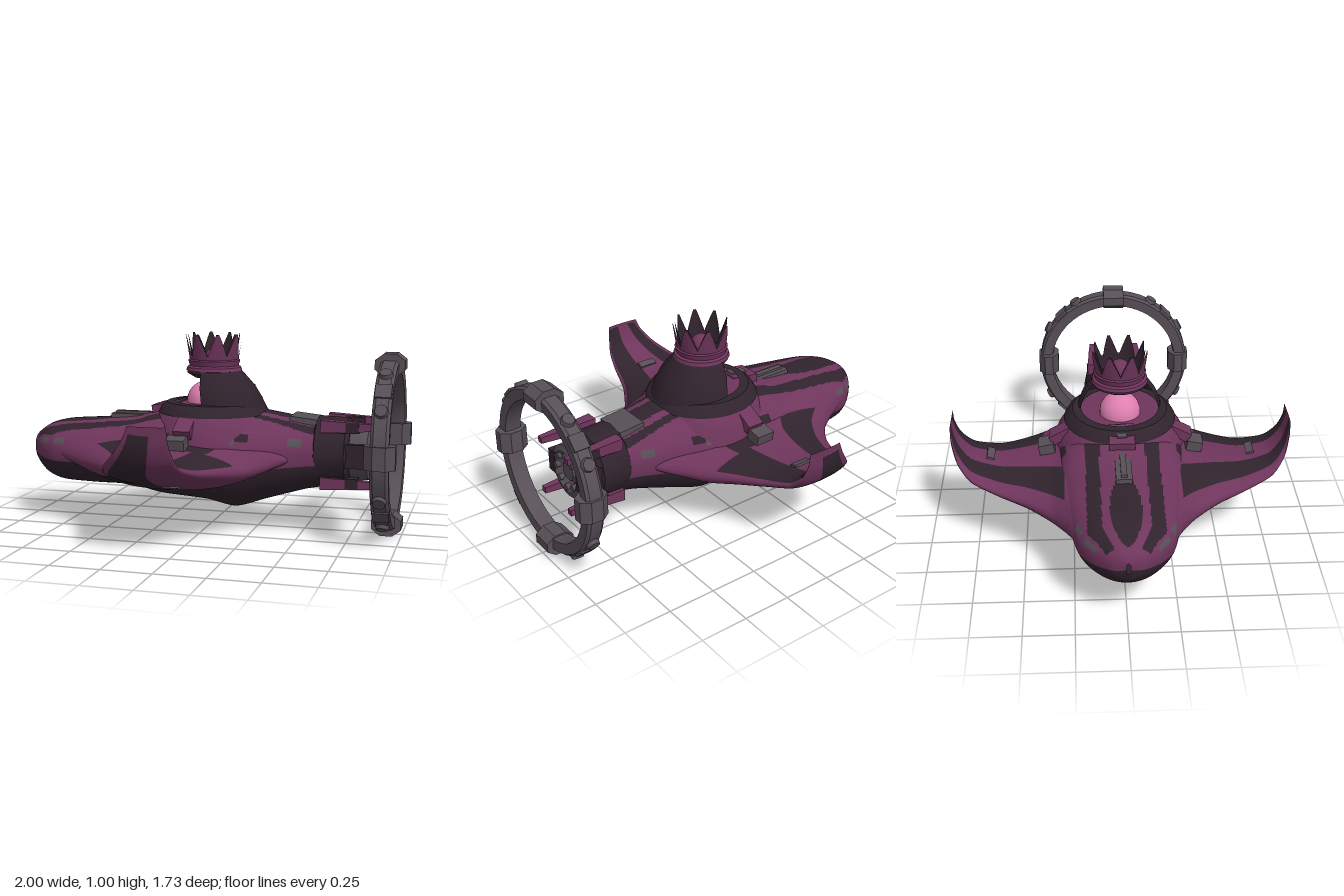
import * as THREE from 'three';
import { toCreasedNormals } from 'three/addons/utils/BufferGeometryUtils.js';

const flat = (name, color, side = THREE.FrontSide) => {
  const m = new THREE.MeshStandardMaterial({ color, side });
  m.name = name;
  return m;
};

export function createModel() {
  const root = new THREE.Group();
  const purple = flat('plum armour', 0x6f355c);
  const dark = flat('dark plum', 0x30232d, THREE.DoubleSide);
  const gray = flat('gunmetal', 0x584f57);
  const pink = flat('pink glow', 0xdf7fb0);
  const paints = [purple, dark, gray];
  const P = 0, D = 1, G = 2;

  const add = (name, geo, mat, x = 0, y = 0, z = 0, parent = root) => {
    const m = new THREE.Mesh(geo, mat);
    m.name = name;
    m.position.set(x, y, z);
    parent.add(m);
    return m;
  };
  const box = (w, h, d) => new THREE.BoxGeometry(w, h, d);
  const lathe = (pts, seg = 48, start = 0, len = Math.PI * 2) => toCreasedNormals(
    new THREE.LatheGeometry(pts.map(p => new THREE.Vector2(p[0], p[1])), seg, start, len), 0.6);

  // Skin through rows of points; paint(u, v, point) picks the material of each face
  function loft(fn, nu, nv, closed, flip, paint) {
    const pos = [], cols = closed ? nv : nv + 1, faces = [[], [], []];
    for (let i = 0; i <= nu; i++) for (let j = 0; j < cols; j++) pos.push(...fn(i / nu, j / nv));
    for (let i = 0; i < nu; i++) for (let j = 0; j < nv; j++) {
      const k = (j + 1) % cols;
      const a = i * cols + j, b = a + cols, c = (i + 1) * cols + k, d = i * cols + k;
      const u = (i + 0.5) / nu, v = (j + 0.5) / nv;
      faces[paint(u, v, fn(u, v))].push(...(flip ? [a, c, b, a, d, c] : [a, b, c, a, c, d]));
    }
    const g = new THREE.BufferGeometry();
    g.setAttribute('position', new THREE.Float32BufferAttribute(pos, 3));
    g.setIndex(faces.flat());
    let start = 0;
    faces.forEach((f, m) => { if (f.length) g.addGroup(start, f.length, m); start += f.length; });
    g.computeVertexNormals();
    return g;
  }
  // Smooth interpolation of rows of five numbers
  function table(rows) {
    const a = new THREE.CatmullRomCurve3(rows.map(r => new THREE.Vector3(r[0], r[1], r[2])), false, 'catmullrom', 0.4);
    const b = new THREE.CatmullRomCurve3(rows.map(r => new THREE.Vector3(r[3], r[4], 0)), false, 'catmullrom', 0.4);
    return u => [...a.getPoint(u).toArray(), b.getPoint(u).x, b.getPoint(u).y];
  }

  // Hull: x, top, bottom, half width, belt height
  const hullAt = table([
    [-1, .42, .36, .01, .39], [-.975, .46, .30, .08, .39], [-.9, .51, .235, .17, .39],
    [-.8, .535, .205, .235, .39], [-.6, .55, .20, .28, .40], [-.4, .57, .20, .31, .41],
    [-.25, .61, .165, .32, .42], [0, .645, .145, .33, .42], [.15, .64, .115, .31, .42],
    [.3, .62, .16, .26, .42], [.5, .59, .22, .19, .42], [.6, .58, .24, .17, .42],
    [.72, .56, .26, .15, .42], [.73, .43, .41, .01, .42]]);
  const hullPoint = (u, v) => {
    const [x, top, bot, w, mid] = hullAt(u), a = v * Math.PI * 2, s = Math.sin(a);
    return [x, mid + (s > 0 ? top - mid : mid - bot) * Math.sign(s) * Math.abs(s) ** .9, w * Math.cos(a)];
  };
  const hullPaint = (u, v, [x, , z]) => {
    const s = Math.sin(v * Math.PI * 2), q = Math.abs(z);
    if (x > .58) return D;
    if (s < (x < -.6 || x > .1 ? -.25 : -.08)) return D;
    if (s > .25 && s < .45 && [-.88, -.77, .16, .47].some(c => Math.abs(x - c) < .035)) return G;
    if (x < -.95) return P;
    if (x < -.22) {
      // Dark leaf on the nose, then alternating bands that spread backwards
      const leaf = .075 * Math.sqrt(Math.max(0, 1 - ((x + .72) / .23) ** 2));
      const k = Math.min(1, (x + 1) / .25 + .35);
      return q < leaf ? D : q < .115 * k ? P : q < .185 * k ? D : P;
    }
    if (x > .25) return q < .06 ? D : q < .1 ? P : q < .14 ? D : P;
    return s > .3 && s < .5 ? D : P;
  };
  add('hull', loft(hullPoint, 160, 160, true, false, hullPaint), paints);

  // Wings: z, leading x, trailing x, middle height, half thickness
  const wingAt = table([
    [.12, -.9, .5, .40, .07], [.23, -.79, .43, .40, .10], [.29, -.66, .34, .375, .12],
    [.36, -.55, .27, .36, .11], [.48, -.45, .18, .37, .085], [.62, -.38, .10, .39, .06],
    [.76, -.32, .06, .435, .045], [.83, -.25, .045, .50, .045], [.86, -.19, .03, .58, .04],
    [.865, -.16, .025, .65, .004]]);
  const wingPaint = (u, v, [, , z]) => {
    const a = v * Math.PI * 2, f = (1 - Math.cos(a)) / 2, q = Math.abs(z);
    if (u > .96) return P;
    if (Math.sin(a) < 0) return f < .06 ? P : f < .55 ? D : P;
    if (q < .4 && f > .62) return f < .78 ? D : P;
    if (f < .13 || (q < .29 && f < .36)) return P;
    return f < .36 ? D : f < .68 ? P : f < .975 ? D : P;
  };
  for (const s of [1, -1]) {
    const wingPoint = (u, v) => {
      const [z, x0, x1, mid, half] = wingAt(u), a = v * Math.PI * 2;
      return [x0 + (x1 - x0) * (1 - Math.cos(a)) / 2, mid + half * Math.sin(a), s * z];
    };
    add(s > 0 ? 'wingFront' : 'wingBack', loft(wingPoint, 90, 96, true, s < 0, wingPaint), paints);
    add('wingHatch', box(.1, .012, .04), gray, -.1, .462, s * .67).rotation.x = -s * .3;
    add('underHatch', box(.08, .012, .07), gray, -.06, .3, s * .52).rotation.x = -s * .25;
    // Shoulder strut and its gray foot
    add('strut', box(.09, .05, .2), purple, -.06, .575, s * .27).rotation.x = s * .5;
    add('strutFoot', box(.1, .07, .08), gray, -.08, .485, s * .38).rotation.x = s * .2;
  }

  // Shoulder collar and the swept-back hood, open toward the nose
  add('collar', lathe([[.34, .45], [.325, .54], [.28, .61], [.24, .65], [0, .655]]), purple, .01);
  add('collarTrim', lathe([[.29, .605], [.27, .64], [.245, .66], [.2, .662]]), dark, .01);
  const hood = lathe([[.22, .63], [.21, .68], [.19, .74], [.16, .79], [.13, .835]], 48, -Math.PI * .59, Math.PI * 1.18)
    .rotateY(Math.PI / 2);
  const hp = hood.attributes.position;
  for (let i = 0; i < hp.count; i++) hp.setX(i, hp.getX(i) + (.835 - hp.getY(i)) * .28);
  add('hood', hood, dark, .01);
  add('hoodTop', lathe([[.1, .785], [.14, .81], [.13, .84], [0, .845]]), dark, .01);
  add('face', new THREE.SphereGeometry(.105, 32, 20), pink, -.028, .66, 0);

  // Crown with eight points
  const crown = new THREE.Group();
  crown.name = 'crown';
  crown.position.x = .01;
  root.add(crown);
  add('crownBand', lathe([[.12, .815], [.145, .822], [.14, .84], [.128, .848], [.135, .875], [.122, .885]]), purple, 0, 0, 0, crown);
  const crownWall = inset => (u, v) => {
    const t = u * Math.PI * 2, tri = Math.min(1, 1.15 * Math.abs(((u * 8) % 1) * 2 - 1));
    const y = .845 + v * (.055 + .112 * tri), r = .122 + (y - .845) * .15 - inset;
    return [r * Math.cos(t + .39), y, r * Math.sin(t + .39)];
  };
  add('crownOutside', loft(crownWall(0), 128, 4, false, true, () => P), paints, 0, 0, 0, crown);
  add('crownInside', loft(crownWall(.012), 128, 4, false, false, () => D), paints, 0, 0, 0, crown);
  add('crownBall', new THREE.SphereGeometry(.055, 24, 16), purple, 0, .88, 0, crown);

  // Deck details along the spine
  add('deckPlate', box(.24, .03, .08), gray, -.43, .563, 0);
  add('deckRib', box(.26, .025, .03), gray, -.4, .578, 0);
  add('deckHousing', box(.16, .07, .13), purple, -.23, .61, 0).rotation.z = .15;
  add('deckCap', box(.1, .02, .05), gray, -.22, .645, 0).rotation.z = .15;
  add('rearDeck', box(.14, .05, .18), gray, .5, .575, 0).rotation.z = -.1;

  // Engine, pointing along +x
  const engine = new THREE.Group();
  engine.name = 'engine';
  engine.position.y = .425;
  engine.rotation.z = -Math.PI / 2;
  root.add(engine);
  add('engineCollar', lathe([[.15, .55], [.18, .57], [.175, .72], [.15, .74], [0, .74]], 16), dark, 0, 0, 0, engine);
  add('nozzle', lathe([[.13, .72], [.145, .76], [.14, .83], [.11, .84], [.06, .81], [.05, .825], [0, .825]], 24), gray, 0, 0, 0, engine);
  for (let i = 0; i < 8; i++) {
    const a = i * Math.PI / 4;
    add('nozzleBolt', new THREE.CylinderGeometry(.017, .017, .04, 10), gray,
      .088 * Math.cos(a), .825, .088 * Math.sin(a), engine);
  }
  const blade = toCreasedNormals(new THREE.CylinderGeometry(.022, .045, .3, 4).rotateY(Math.PI / 4), .3);
  for (const sy of [1, -1]) for (const sz of [1, -1]) {
    add('prong', blade, purple, sy * .145, .75, sz * .125, engine);
    add('prongRoot', box(.05, .1, .06), dark, sy * .14, .74, sz * .12, engine);
  }
  for (const sz of [1, -1]) add('sideThruster', box(.12, .14, .06), dark, 0, .77, sz * .13, engine);

  // Propulsion ring
  const ring = new THREE.Group();
  ring.name = 'ring';
  ring.position.set(.925, .47, 0);
  root.add(ring);
  const rim = [[.365, -.042], [.42, -.045], [.432, -.03], [.432, .03], [.42, .045], [.365, .042], [.36, 0], [.365, -.042]];
  add('ringRim', lathe(rim, 64).rotateZ(-Math.PI / 2), gray, 0, 0, 0, ring);
  const mount = (geo, name, angle, radius) => {
    const m = add(name, geo, gray, 0, radius * Math.cos(angle), radius * Math.sin(angle), ring);
    m.rotation.x = angle;
  };
  const block = toCreasedNormals(new THREE.CylinderGeometry(.081, .081, .115, 8)
    .rotateY(Math.PI / 8).rotateX(Math.PI / 2).scale(1, .76, 1), .3);
  const knob = new THREE.CylinderGeometry(.03, .038, .03, 12);
  const plate = box(.08, .04, .08);
  for (let i = 0; i < 4; i++) {
    const a = i * Math.PI / 2;
    mount(block, 'ringBlock', a, i % 2 ? .383 : .405);
    for (const s of [1, -1]) mount(knob, 'ringKnob', a + Math.PI / 4 + s * (i % 2 ? -.26 : .26), .435);
    mount(plate, 'ringPlate', a + Math.PI / 4, .418);
  }
  return root;
}
